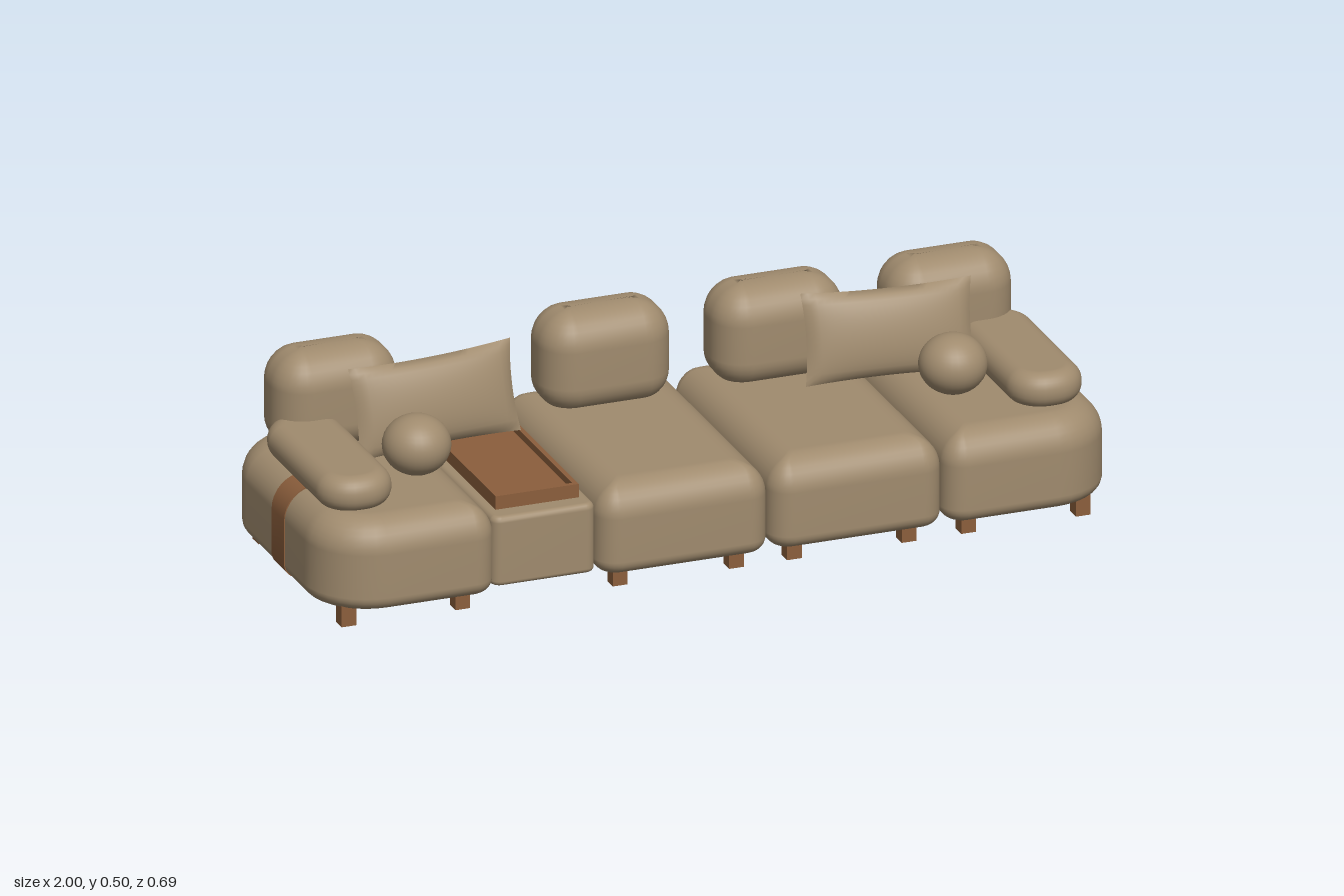
import * as THREE from 'three';
import { mergeGeometries, mergeVertices, toCreasedNormals } from 'three/addons/utils/BufferGeometryUtils.js';

const fabric = new THREE.MeshStandardMaterial({ name: 'taupe fabric', color: 0xa08b6e });
const wood = new THREE.MeshStandardMaterial({ name: 'brown wood', color: 0x8b5e3c });

// Side profile of a cushion as [inset, y], from the underside to the top
function profile(y0, y1, rBottom, rTop, steps = 8) {
  const pts = [];
  for (let i = 0; i <= steps; i++) {
    const a = (i / steps) * Math.PI / 2;
    pts.push([rBottom * (1 - Math.sin(a)), y0 + rBottom * (1 - Math.cos(a))]);
  }
  for (let i = 0; i <= steps; i++) {
    const a = (i / steps) * Math.PI / 2;
    pts.push([rTop * (1 - Math.cos(a)), y1 - rTop * (1 - Math.sin(a))]);
  }
  return pts;
}

// Soft block: rounded-rectangle loops stacked along a profile.
// radii are the plan corners: [+x-z, -x-z, -x+z, +x+z]
function cushion([x0, x1], [z0, z1], radii, prof) {
  const steps = 8, pos = [], index = [];
  const corners = [[x1, z0, -1, 1], [x0, z0, 1, 1], [x0, z1, 1, -1], [x1, z1, -1, -1]];
  for (const [inset, y] of prof) {
    corners.forEach(([x, z, sx, sz], q) => {
      const r = Math.max(radii[q] - inset, 0.012);
      for (let i = 0; i <= steps; i++) {
        const a = (q + i / steps) * Math.PI / 2;
        pos.push(x + sx * (inset + r) + r * Math.cos(a), y, z + sz * (inset + r) - r * Math.sin(a));
      }
    });
  }
  const n = 4 * (steps + 1), rows = prof.length;
  const cx = (x0 + x1) / 2, cz = (z0 + z1) / 2;
  pos.push(cx, prof[0][1], cz, cx, prof[rows - 1][1], cz);
  for (let i = 0; i < n; i++) {
    const j = (i + 1) % n;
    for (let k = 0; k < rows - 1; k++) {
      const a = k * n + i, b = k * n + j;
      index.push(a, b, b + n, a, b + n, a + n);
    }
    index.push(rows * n, j, i, rows * n + 1, (rows - 1) * n + i, (rows - 1) * n + j);
  }
  const g = new THREE.BufferGeometry();
  g.setAttribute('position', new THREE.Float32BufferAttribute(pos, 3));
  g.setIndex(index);
  g.computeVertexNormals();
  return g;
}

// Throw pillow: two bulged sheets with pulled-in edges and pointed corners
function pillowGeometry(w, h, t) {
  const sheet = new THREE.PlaneGeometry(w, h, 24, 16);
  const p = sheet.attributes.position;
  for (let i = 0; i < p.count; i++) {
    const u = p.getX(i) / (w / 2), v = p.getY(i) / (h / 2);
    const fu = Math.max(0, 1 - u * u), fv = Math.max(0, 1 - v * v);
    p.setXYZ(i, p.getX(i) * (1 - 0.04 * fv * u * u), p.getY(i) * (1 - 0.07 * fu * v * v), t * Math.sqrt(fu * fv));
  }
  const back = sheet.clone().rotateY(Math.PI);
  const g = mergeGeometries([sheet, back]);
  g.deleteAttribute('normal');
  g.deleteAttribute('uv');
  return toCreasedNormals(mergeVertices(g, 1e-5), 1.2);
}

export function createModel() {
  const model = new THREE.Group();
  model.name = 'modularSofa';
  const add = (name, geometry, material, x = 0, y = 0, z = 0) => {
    const m = new THREE.Mesh(geometry, material);
    m.name = name;
    m.position.set(x, y, z);
    model.add(m);
    return m;
  };
  const box = (name, w, h, d, x, y, z) => add(name, new THREE.BoxGeometry(w, h, d), wood, x, y, z);

  // Seat modules with their back cushions and legs
  const seatProfile = profile(0.045, 0.27, 0.035, 0.08);
  const backProfile = profile(0.255, 0.503, 0.07, 0.085);
  const big = 0.155, small = 0.055;
  const modules = [
    { x: [-1, -0.569], r: [small, big, big, small], back: [-0.933, -0.622], legs: [-0.927, -0.64] },
    { x: [-0.311, 0.12], r: [small, small, small, small], back: [-0.26, 0.066], legs: [-0.243, 0.05] },
    { x: [0.124, 0.559], r: [small, small, small, small], back: [0.175, 0.503], legs: [0.196, 0.485] },
    { x: [0.563, 1], r: [big, small, small, big], back: [0.612, 0.928], legs: [0.635, 0.924] },
  ];
  for (const m of modules) {
    add('seat', cushion(m.x, [-0.344, 0.341], m.r, seatProfile), fabric);
    add('backCushion', cushion(m.back, [-0.313, -0.126], [0.08, 0.08, 0.08, 0.08], backProfile), fabric);
    for (const x of m.legs) for (const z of [0.27, -0.27]) box('leg', 0.037, 0.06, 0.037, x, 0.03, z);
  }

  // Console between the seats, carrying a shallow tray
  add('console', cushion([-0.571, -0.309], [-0.316, 0.306], [0.025, 0.025, 0.025, 0.025],
    profile(0.05, 0.226, 0.012, 0.015, 4)), fabric);
  const trayX = -0.44, trayZ = -0.002, trayW = 0.21, trayD = 0.516, rim = 0.012;
  box('trayBase', trayW - rim, 0.02, trayD - rim, trayX, 0.232, trayZ);
  for (const s of [-1, 1]) {
    box('traySide', rim, 0.04, trayD, trayX + s * (trayW - rim) / 2, 0.24, trayZ);
    box('trayEnd', trayW - 2 * rim, 0.04, rim, trayX, 0.24, trayZ + s * (trayD - rim) / 2);
  }

  // Strap section follows the outer side of the end seat
  const strapShape = new THREE.Shape();
  strapShape.moveTo(0.8, 0.042);
  for (const [inset, y] of profile(0.042, 0.273, 0.037, 0.082)) strapShape.lineTo(1.002 - inset, y);
  strapShape.lineTo(0.8, 0.273);
  const strap = new THREE.ExtrudeGeometry(strapShape, { depth: 0.081, bevelEnabled: false });
  strap.translate(0, 0, -0.0405);
  const strapGeometry = toCreasedNormals(strap, 0.6);

  // Paired parts on both ends
  const pillow = pillowGeometry(0.42, 0.222, 0.04);
  const armProfile = profile(0.262, 0.35, 0.04, 0.042);
  for (const s of [-1, 1]) {
    add('strap', strapGeometry, wood, 0, 0, 0.02).rotation.y = s < 0 ? Math.PI : 0;

    const armX = s < 0 ? [-0.965, -0.78] : [0.775, 0.96];
    add('armrest', cushion(armX, [-0.214, 0.255], [0.085, 0.085, 0.085, 0.085], armProfile), fabric);

    const p = add('throwPillow', pillow, fabric, s * 0.572, 0.383, -0.07);
    p.rotation.set(-0.25, -s * 0.065, s * -0.015, 'YXZ');

    const ball = add('ballCushion', new THREE.SphereGeometry(0.082, 32, 20), fabric, s * 0.676, 0.345, 0.081);
    ball.scale.y = 0.89;
  }
  return model;
}
